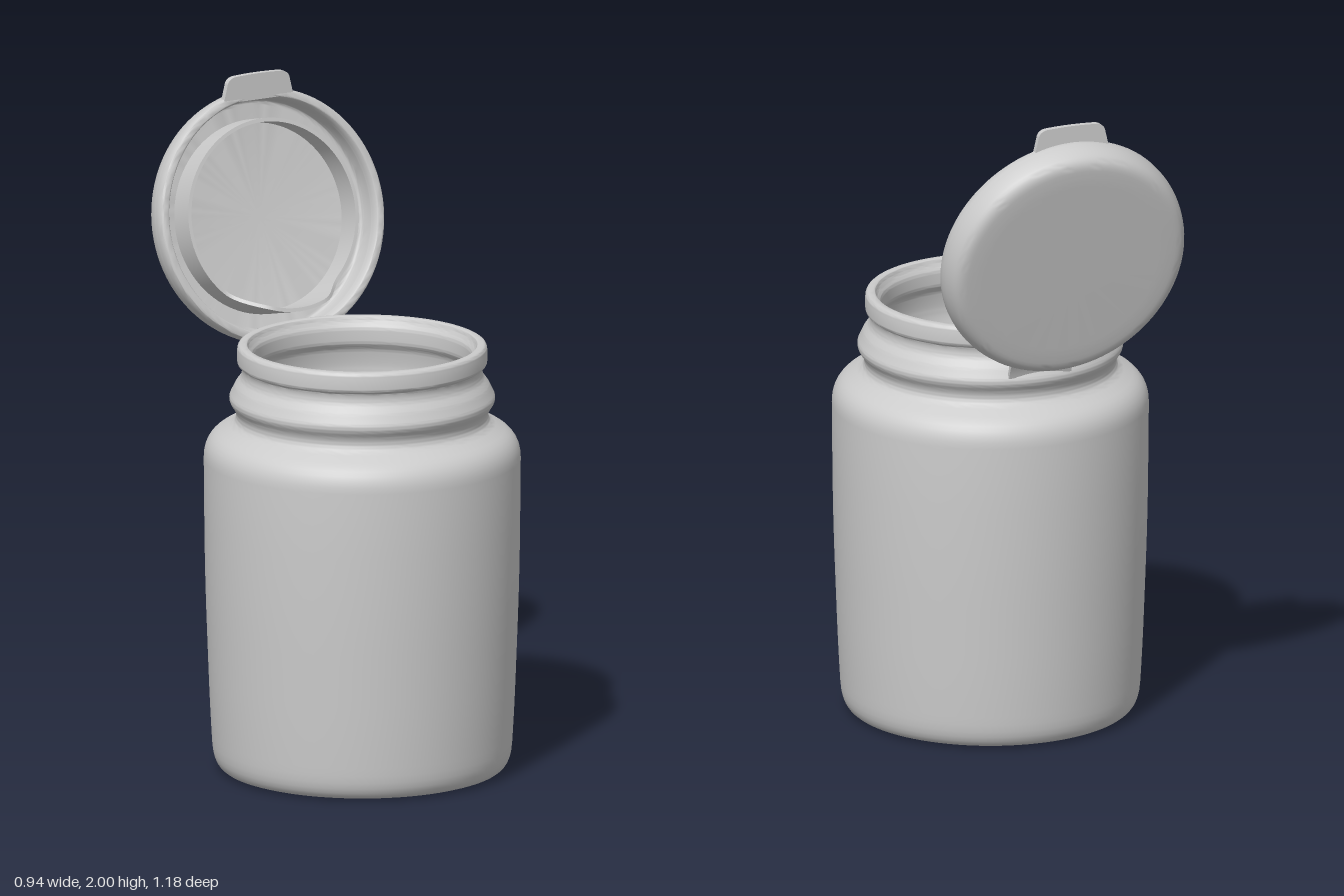
import * as THREE from 'three';
import { toCreasedNormals } from 'three/addons/utils/BufferGeometryUtils.js';

const material = new THREE.MeshStandardMaterial({ color: 0xcccccc, side: THREE.DoubleSide });

function mesh(name, geometry, crease = 0.6) {
  const m = new THREE.Mesh(toCreasedNormals(geometry, crease), material);
  m.name = name;
  return m;
}

// Profile of [radius, height, rounding] corners; each rounded corner becomes a small curve
function roundedProfile(corners, steps = 6) {
  const out = [];
  corners.forEach(([x, y, r = 0], i) => {
    const p = new THREE.Vector2(x, y);
    if (!r || i === 0 || i === corners.length - 1) { out.push(p); return; }
    const toward = ([qx, qy]) => {
      const d = new THREE.Vector2(qx - x, qy - y);
      return p.clone().add(d.setLength(Math.min(r, d.length() * 0.49)));
    };
    const curve = new THREE.QuadraticBezierCurve(toward(corners[i - 1]), p, toward(corners[i + 1]));
    out.push(...curve.getPoints(steps));
  });
  return out;
}

const lathe = (corners) => new THREE.LatheGeometry(roundedProfile(corners), 96);

// Jar: outside wall, threaded neck, lip, then back down the inside
function makeJar() {
  const jar = mesh('jar', lathe([
    [0, 0.012], [0.35, 0.012, 0.02], [0.37, 0.003, 0.02], [0.442, 0.015, 0.07],
    [0.453, 0.2, 0.1], [0.468, 0.6, 0.15], [0.472, 1.015, 0.06], [0.375, 1.068, 0.025],
    [0.375, 1.1, 0.02], [0.4, 1.135, 0.025], [0.385, 1.165, 0.015], [0.378, 1.18, 0.015],
    [0.358, 1.205, 0.02], [0.358, 1.236, 0.006], [0.372, 1.243, 0.008],
    [0.372, 1.302, 0.018], [0.342, 1.302, 0.006], [0.338, 1.285, 0.006],
    [0.325, 1.27, 0.01], [0.325, 1.22, 0.01], [0.342, 1.2, 0.015], [0.352, 1.13, 0.03],
    [0.335, 1.06, 0.03], [0.44, 1.0, 0.06], [0.436, 0.6, 0.1], [0.424, 0.04, 0.06], [0, 0.04],
  ]));
  jar.position.z = 0.115;
  return jar;
}

// Lid: local +y is the outside face, local -z the hinge side, rim at y = 0
function makeLid() {
  const lid = new THREE.Group();
  lid.name = 'lid';
  lid.add(mesh('cap', lathe([
    [0, 0.085], [0.348, 0.085, 0.015], [0.348, 0.03, 0.01], [0.355, 0, 0.005],
    [0.38, 0, 0.008], [0.384, 0.045, 0.03], [0.365, 0.103, 0.06], [0.30, 0.107, 0.02], [0, 0.107],
  ])));

  // Sealing skirt, pulled out into a tongue beside the hinge
  const skirt = lathe([[0.28, 0.087], [0.28, 0], [0.291, 0], [0.291, 0.087]]);
  const pos = skirt.attributes.position;
  for (let i = 0; i < pos.count; i++) {
    if (pos.getY(i) > 0.01) continue;
    const angle = Math.abs(Math.atan2(pos.getX(i), -pos.getZ(i)));
    pos.setY(i, -0.085 * (1 - THREE.MathUtils.smoothstep(angle, 0.3, 0.75)));
  }
  lid.add(mesh('sealingSkirt', skirt));

  lid.position.set(0, 1.583, -0.406);
  lid.rotation.x = -(Math.PI / 2 + 0.25);
  return lid;
}

// Thumb tab on the free edge of the lid
function makeTab() {
  const s = new THREE.Shape();
  s.moveTo(-0.12, 1.92);
  s.lineTo(-0.108, 1.97);
  s.quadraticCurveTo(-0.105, 1.998, -0.07, 1.998);
  s.quadraticCurveTo(0, 2.002, 0.07, 1.998);
  s.quadraticCurveTo(0.105, 1.998, 0.108, 1.97);
  s.lineTo(0.12, 1.92);
  s.closePath();
  const g = new THREE.ExtrudeGeometry(s, { depth: 0.018, bevelEnabled: false, curveSegments: 8 });
  g.translate(0, 0, -0.512);
  return mesh('thumbTab', g);
}

// Thin curved strap joining neck and lid, drawn in side section and extruded across
function makeHinge() {
  const s = new THREE.Shape();
  s.moveTo(-0.255, 1.15);
  s.lineTo(-0.268, 1.15);
  s.quadraticCurveTo(-0.28, 1.2, -0.335, 1.265);
  s.lineTo(-0.322, 1.268);
  s.quadraticCurveTo(-0.275, 1.22, -0.255, 1.15);
  const g = new THREE.ExtrudeGeometry(s, { depth: 0.2, bevelEnabled: false, curveSegments: 8 });
  g.translate(0, 0, -0.1);
  g.rotateY(-Math.PI / 2);
  return mesh('hingeStrap', g);
}

export function createModel() {
  const model = new THREE.Group();
  model.name = 'flipTopJar';
  model.add(makeJar(), makeLid(), makeTab(), makeHinge());
  return model;
}
